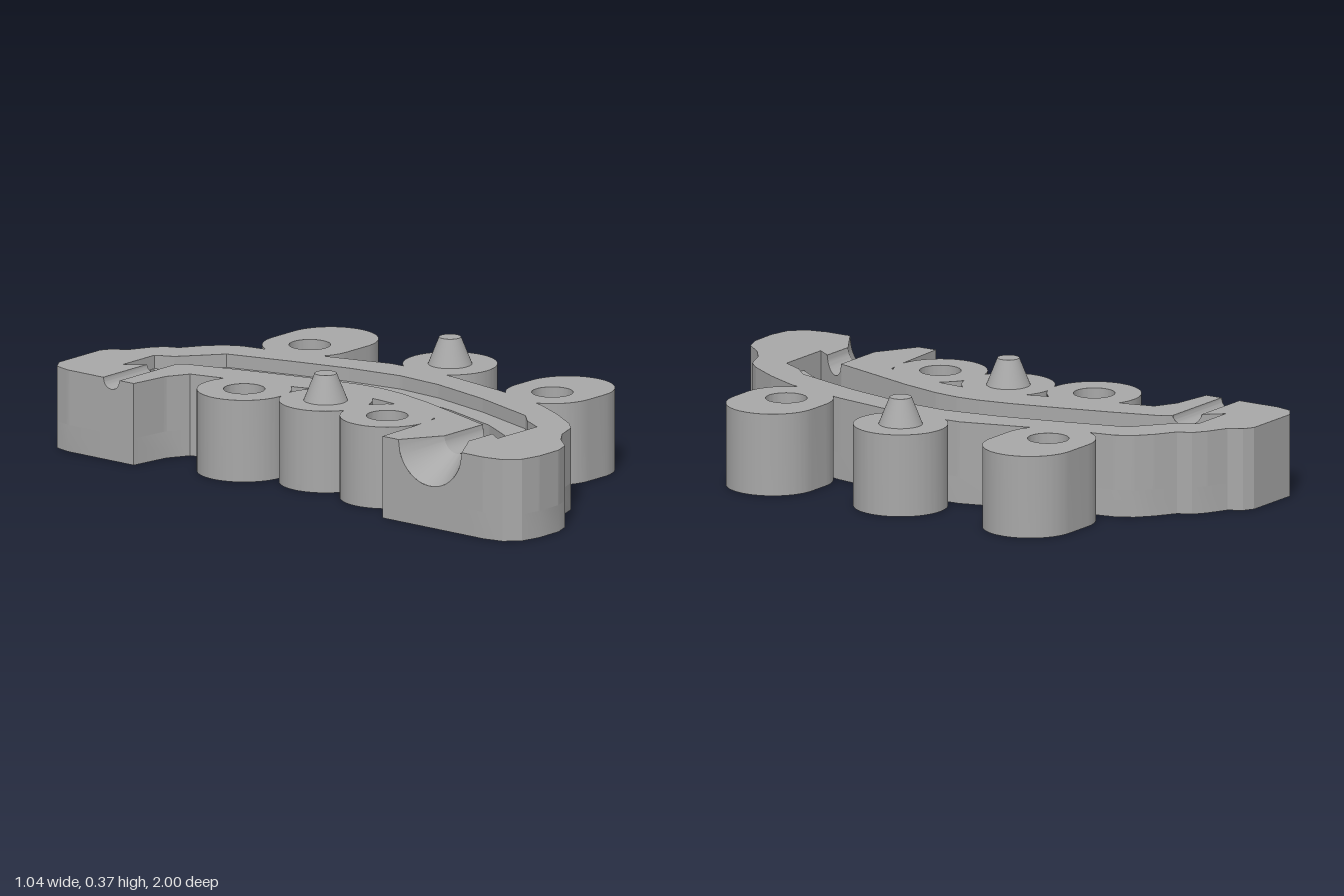
import * as THREE from 'three';
import { toCreasedNormals } from 'three/addons/utils/BufferGeometryUtils.js';

const H = 0.275, FLOOR = 0.09, LEDGE = 0.23;

// Plan outlines as [x, z]; outer runs round the +x side, inner along the -x side
const outer = [[-0.51, -0.76], [-0.51, -0.91], [-0.495, -0.97], [-0.45, -1], [-0.24, -1], [-0.205, -0.98],
  [-0.18, -0.935], [-0.11, -0.9], [-0.07, -0.87], [-0.05, -0.825], [0.02, -0.78], [0.07, -0.735], [0.1, -0.68],
  [0.115, -0.6], [0.165, -0.4], [0.235, -0.16], [0.24, -0.01], [0.23, 0.11], [0.19, 0.34], [0.13, 0.57],
  [0.07, 0.69], [0, 0.8], [-0.04, 0.84], [-0.12, 0.87], [-0.18, 0.915], [-0.23, 0.975], [-0.29, 0.998],
  [-0.39, 1], [-0.46, 0.985], [-0.505, 0.94], [-0.52, 0.87], [-0.52, 0.778]];
const inner = [[-0.52, 0.508], [-0.52, 0.44], [-0.3, 0.43], [-0.23, 0.42], [-0.2, 0.33], [-0.165, 0.18],
  [-0.15, 0], [-0.165, -0.1], [-0.2, -0.18], [-0.23, -0.3], [-0.265, -0.45], [-0.295, -0.57], [-0.37, -0.61],
  [-0.51, -0.63], [-0.51, -0.69]];

// Edges of the curved channel, back to front
const left = [[-0.34, -0.82], [-0.2, -0.66], [-0.15, -0.5], [-0.1, -0.32], [-0.06, -0.16], [-0.04, -0.05],
  [-0.035, 0.03], [-0.045, 0.12], [-0.08, 0.26], [-0.12, 0.38], [-0.19, 0.591], [-0.3, 0.745]];
const mid = [[-0.2, -0.82], [-0.16, -0.72], [-0.1, -0.65], [-0.02, -0.38], [0.03, -0.2], [0.055, -0.06],
  [0.058, 0.08], [0.02, 0.28], [-0.05, 0.5], [-0.14, 0.66], [-0.2, 0.745]];
const right = [[-0.18, -0.82], [-0.15, -0.76], [-0.09, -0.71], [-0.015, -0.65], [0.05, -0.42], [0.1, -0.22],
  [0.13, -0.03], [0.12, 0.14], [0.07, 0.37], [-0.01, 0.62], [-0.06, 0.67], [-0.1, 0.745]];

// Half-round grooves running along x into the channel
const grooves = [
  { name: 'ventGroove', z: -0.725, x0: -0.51, r0: 0.035, x1: -0.4, r1: 0.035 },
  { name: 'pouringFunnel', z: 0.643, x0: -0.52, r0: 0.135, x1: -0.385, r1: 0.052 },
];

// x of the channel's left edge at a given z
function leftX(z) {
  for (let i = 1; i < left.length; i++) {
    const [a, b] = [left[i - 1], left[i]];
    if (z <= b[1]) return a[0] + (b[0] - a[0]) * (z - a[1]) / (b[1] - a[1]);
  }
  return left.at(-1)[0];
}

// Height of the top surface, lowered where a groove cuts through
function topAt(x, z) {
  let y = H;
  if (x > -0.17) return y;
  for (const g of grooves) {
    const t = Math.min(1, Math.max(0, (x - g.x0) / (g.x1 - g.x0)));
    const r = g.r0 + (g.r1 - g.r0) * t, d = z - g.z;
    if (Math.abs(d) < r) y = Math.min(y, H - Math.sqrt(r * r - d * d));
  }
  return y;
}

// Indexed grid of points, rows x columns
function grid(rows) {
  const n = rows[0].length, index = [];
  for (let i = 0; i < rows.length - 1; i++)
    for (let j = 0; j < n - 1; j++) {
      const a = i * n + j, b = a + n;
      index.push(a, b, b + 1, a, b + 1, a + 1);
    }
  const g = new THREE.BufferGeometry();
  g.setAttribute('position', new THREE.Float32BufferAttribute(rows.flat(2), 3));
  g.setIndex(index);
  g.computeVertexNormals();
  return toCreasedNormals(g, 0.45);
}

// Vertical wall along a plan path
function wall(path, base, top) {
  const rows = [];
  for (let i = 0; i < path.length - 1; i++) {
    const [a, b] = [path[i], path[i + 1]];
    const n = Math.max(1, Math.ceil(Math.hypot(b[0] - a[0], b[1] - a[1]) / 0.006));
    for (let k = i ? 1 : 0; k <= n; k++) {
      const x = a[0] + (b[0] - a[0]) * k / n, z = a[1] + (b[1] - a[1]) * k / n;
      rows.push([[x, base, z], [x, top(x, z), z]]);
    }
  }
  return grid(rows);
}

const planShape = pts => new THREE.Shape(pts.map(([x, z]) => new THREE.Vector2(x, -z)));
const face = (pts, y) => new THREE.ShapeGeometry(planShape(pts)).rotateX(-Math.PI / 2).translate(0, y, 0);
const slab = (shape, depth) => toCreasedNormals(new THREE.ExtrudeGeometry(shape,
  { depth, bevelEnabled: false, curveSegments: 32 }).rotateX(-Math.PI / 2), 0.5);

export function createModel() {
  const group = new THREE.Group();
  const grey = new THREE.MeshStandardMaterial({ color: 0xa8a8a8, side: THREE.DoubleSide });
  grey.name = 'plain grey';
  const add = (name, geometry) => {
    const m = new THREE.Mesh(geometry, grey);
    m.name = name;
    group.add(m);
    return m;
  };

  // Solid base, outer walls and channel walls
  const outline = [...outer, ...inner].reverse();
  const rim = [...left].reverse().concat(right);
  add('base', slab(planShape(outline), FLOOR));
  add('outerWall', wall([...outline, outline[0]], FLOOR, topAt));
  add('channelWall', wall([...rim, rim[0]], FLOOR, topAt));

  // Stepped ledge along the channel
  add('ledge', face([...mid, ...[...right].reverse()], LEDGE));
  add('ledgeWall', wall(mid, FLOOR, () => LEDGE));

  // Top lands either side of the channel and grooves
  const [vent, funnel] = grooves;
  const vA = vent.z - vent.r1, vB = vent.z + vent.r1, fA = funnel.z - funnel.r1, fB = funnel.z + funnel.r1;
  add('innerTop', face([...inner, [leftX(vB), vB],
    ...left.slice(1, -2), [leftX(fA), fA], [funnel.x1, fA]], H));
  add('outerTop', face([...outer, [funnel.x1, fB], [leftX(fB), fB], left.at(-1),
    ...[...right].reverse(), left[0], [leftX(vA), vA]], H));

  // Groove surfaces
  for (const g of grooves) {
    const rows = [];
    for (let i = 0; i <= 24; i++) {
      const a = Math.PI * i / 24, c = Math.cos(a), s = Math.sin(a);
      const zEnd = g.z + g.r1 * c;
      rows.push([[g.x0, H - g.r0 * s, g.z + g.r0 * c], [g.x1, H - g.r1 * s, zEnd],
        [leftX(zEnd), H - g.r1 * s, zEnd]]);
    }
    add(g.name, grid(rows));
  }

  // Round lugs: centre x, z, radius, straight extension toward +x, hole radius
  const lugs = [
    [-0.33, -0.31, 0.155, 0, 0.068], [-0.27, -0.013, 0.153, 0, 0], [-0.3, 0.275, 0.155, 0, 0.068],
    [0.255, -0.523, 0.156, 0.106, 0.068], [0.36, -0.013, 0.155, 0, 0], [0.285, 0.487, 0.154, 0.078, 0.068],
  ];
  for (const [x, z, r, ext, hole] of lugs) {
    const s = new THREE.Shape();
    s.absarc(x + ext, -z, r, -Math.PI / 2, Math.PI / 2, false);
    s.absarc(x, -z, r, Math.PI / 2, Math.PI * 1.5, false);
    if (hole) s.holes.push(new THREE.Path().absarc(x, -z, hole, 0, Math.PI * 2, true));
    add(hole ? 'holeLug' : 'pegLug', slab(s, H));
    // Tapered locating peg
    if (!hole) add('peg', new THREE.CylinderGeometry(0.036, 0.072, 0.09, 40)).position.set(x, H + 0.045, z);
  }
  return group;
}
